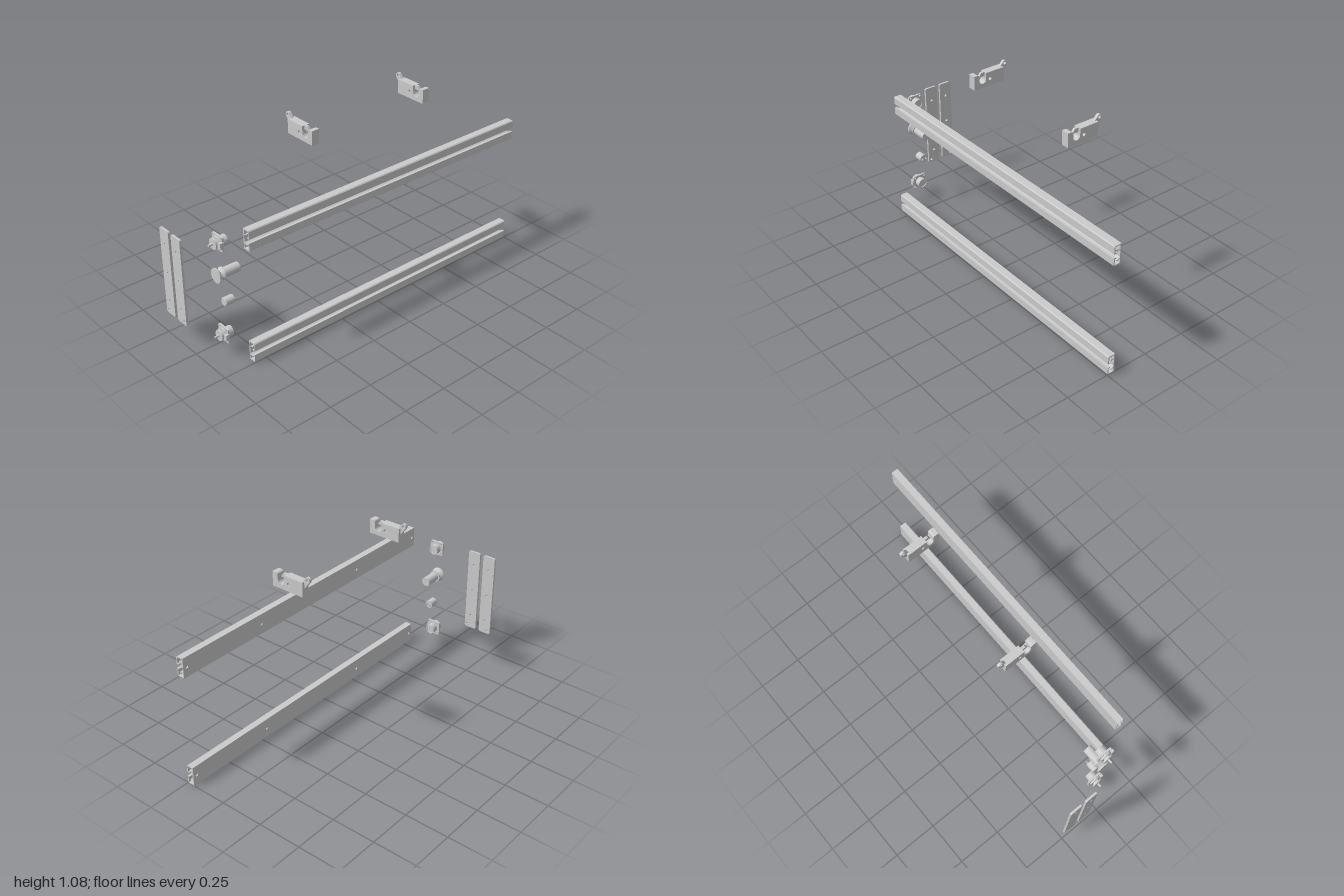
import * as THREE from 'three';

const material = new THREE.MeshStandardMaterial({ color: 0xcccccc });

function mesh(name, geometry, parent) {
  const m = new THREE.Mesh(geometry, material);
  m.name = name;
  parent.add(m);
  return m;
}

function group(name, parent) {
  const g = new THREE.Group();
  g.name = name;
  parent.add(g);
  return g;
}

const polygon = pts => new THREE.Shape(pts.map(p => new THREE.Vector2(p[0], p[1])));

function hole(shape, x, y, r) {
  const path = new THREE.Path();
  path.absarc(x, y, r, 0, Math.PI * 2, true);
  shape.holes.push(path);
}

// Rectangle with rounded corners
function roundedRect(x0, x1, y0, y1, r) {
  const s = new THREE.Shape();
  s.absarc(x1 - r, y0 + r, r, -Math.PI / 2, 0);
  s.absarc(x1 - r, y1 - r, r, 0, Math.PI / 2);
  s.absarc(x0 + r, y1 - r, r, Math.PI / 2, Math.PI);
  s.absarc(x0 + r, y0 + r, r, Math.PI, Math.PI * 1.5);
  return s;
}

// Side profile drawn as (-z, y), extruded along x from x0 to x1
function sideExtrude(shape, x0, x1) {
  const g = new THREE.ExtrudeGeometry(shape, { depth: x1 - x0, bevelEnabled: false, curveSegments: 10 });
  return g.rotateY(Math.PI / 2).translate(x0, 0, 0);
}

// Turned part along x from [radius, x] pairs; corners stay sharp
function turned(pts, y, z) {
  const profile = [];
  pts.forEach(([r, x], i) => {
    profile.push(new THREE.Vector2(r, x));
    if (i > 0 && i < pts.length - 1) profile.push(new THREE.Vector2(r, x + 1e-5));
  });
  const g = new THREE.LatheGeometry(profile, 36).toNonIndexed();
  g.computeVertexNormals();
  return g.rotateZ(-Math.PI / 2).translate(0, y, z);
}

// Long channel rail with drilled back wall, lips and inner ribs
function addRail(parent, name, y) {
  const rail = group(name, parent);
  const x0 = -0.817, x1 = 1, h = 0.112;
  const wall = polygon([[x0, 0], [x1, 0], [x1, h], [x0, h]]);
  for (const x of [-0.795, -0.29, 0.465, 0.977]) hole(wall, x, h / 2, 0.008);
  const back = new THREE.ExtrudeGeometry(wall, { depth: 0.006, bevelEnabled: false });
  mesh('railBackWall', back.translate(0, 0, 0.206), rail);
  const lip = [[-0.212, 0.112], [-0.244, 0.112], [-0.249, 0.107], [-0.249, 0.067], [-0.235, 0.067],
    [-0.235, 0.072], [-0.243, 0.073], [-0.243, 0.106], [-0.212, 0.106]];
  const rib = [[-0.212, 0.08], [-0.22, 0.085], [-0.232, 0.088], [-0.232, 0.083], [-0.221, 0.08], [-0.212, 0.074]];
  for (const flip of [false, true]) {
    const place = pts => polygon(pts.map(([u, v]) => [u, flip ? h - v : v]));
    mesh('railLip', sideExtrude(place(lip), x0, x1), rail);
    mesh('railRib', sideExtrude(place(rib), x0, x1), rail);
  }
  rail.position.y = y;
}

// Flat drilled strip
function addStrip(parent, name, u0, lowHole) {
  const s = roundedRect(u0, u0 + 0.077, 0.13, 0.634, 0.01);
  for (const y of [0.55, 0.381, 0.213]) hole(s, u0 + 0.0385, y, 0.007);
  hole(s, lowHole, 0.15, 0.007);
  mesh(name, sideExtrude(s, -1, -0.988), parent);
}

// Latch block with an open notch, inner hook and pull lever
function addLatch(parent, name, x) {
  const latch = group(name, parent);
  const s = new THREE.Shape();
  s.moveTo(-0.094, 0.974);
  s.lineTo(0.097, 0.974);
  s.lineTo(0.097, 1.053);
  s.lineTo(-0.018, 1.053);
  s.lineTo(-0.018, 1.018);
  s.absarc(-0.04, 1.018, 0.021, 0, Math.PI, true);
  s.lineTo(-0.061, 1.04);
  s.quadraticCurveTo(-0.062, 1.053, -0.076, 1.053);
  s.lineTo(-0.094, 1.053);
  hole(s, 0.007, 1.013, 0.009);
  hole(s, 0.07, 1.003, 0.009);
  mesh('latchBody', sideExtrude(s, -0.022, 0.022), latch);

  const hook = polygon([[-0.054, 1.031], [-0.038, 1.053], [-0.015, 1.053], [-0.015, 1.022], [-0.022, 1.031]]);
  mesh('latchHook', sideExtrude(hook, -0.007, 0.007), latch);

  const lever = new THREE.Shape();
  lever.moveTo(0.083, 1.05);
  lever.lineTo(0.097, 1.014);
  lever.lineTo(0.129, 1.057);
  lever.absarc(0.115, 1.065, 0.015, -0.5, 2.6);
  hole(lever, 0.115, 1.065, 0.008);
  mesh('latchLever', sideExtrude(lever, -0.008, 0.008), latch);

  const pin = new THREE.CylinderGeometry(0.009, 0.009, 0.044, 20);
  mesh('latchPin', pin.rotateZ(Math.PI / 2).translate(0, 1.003, -0.07), latch);
  latch.position.x = x;
}

// Flanged socket with stem, collars and side tab
function addSocket(parent, name, y) {
  const socket = group(name, parent);
  const z = 0.079;
  mesh('socketBody', turned([[0, -0.933], [0.006, -0.933], [0.006, -0.909], [0.03, -0.909], [0.03, -0.9],
    [0.02, -0.9], [0.02, -0.892], [0.034, -0.892], [0.034, -0.882], [0.028, -0.882], [0.028, -0.837],
    [0.024, -0.837], [0.024, -0.843], [0, -0.843]], y, z), socket);
  const flange = roundedRect(-0.12, -0.037, y - 0.041, y + 0.041, 0.007);
  for (const du of [-0.031, 0.031])
    for (const dv of [-0.031, 0.031]) hole(flange, -z + du, y + dv, 0.005);
  mesh('socketFlange', sideExtrude(flange, -0.882, -0.871), socket);
  const tab = new THREE.BoxGeometry(0.022, 0.034, 0.02).translate(-0.886, y, 0.116);
  mesh('socketTab', tab, socket);
}

export function createModel() {
  const model = new THREE.Group();
  model.name = 'railHardwareKit';

  addRail(model, 'lowerRail', 0);
  addRail(model, 'upperRail', 0.648);
  addStrip(model, 'frontStrip', 0.069, 0.087);
  addStrip(model, 'backStrip', 0.169, 0.226);
  addLatch(model, 'rightLatch', -0.285);
  addLatch(model, 'leftLatch', 0.464);
  addSocket(model, 'lowerSocket', 0.114);
  addSocket(model, 'upperSocket', 0.648);

  // Roller knob with grooved head
  mesh('knob', turned([[0, -0.904], [0.04, -0.904], [0.04, -0.897], [0.021, -0.882], [0.034, -0.868],
    [0.034, -0.862], [0.026, -0.862], [0.026, -0.773], [0, -0.773]], 0.466, 0.079), model);

  // Small plug with two contact blades
  const plug = group('plug', model);
  mesh('plugBody', turned([[0, -0.868], [0.02, -0.868], [0.023, -0.865], [0.023, -0.815], [0, -0.815]],
    0.297, 0.079), plug);
  for (const dz of [-0.012, 0.012]) {
    const blade = new THREE.BoxGeometry(0.016, 0.01, 0.003).translate(-0.809, 0.297, 0.079 + dz);
    mesh('plugBlade', blade, plug);
  }
  return model;
}
